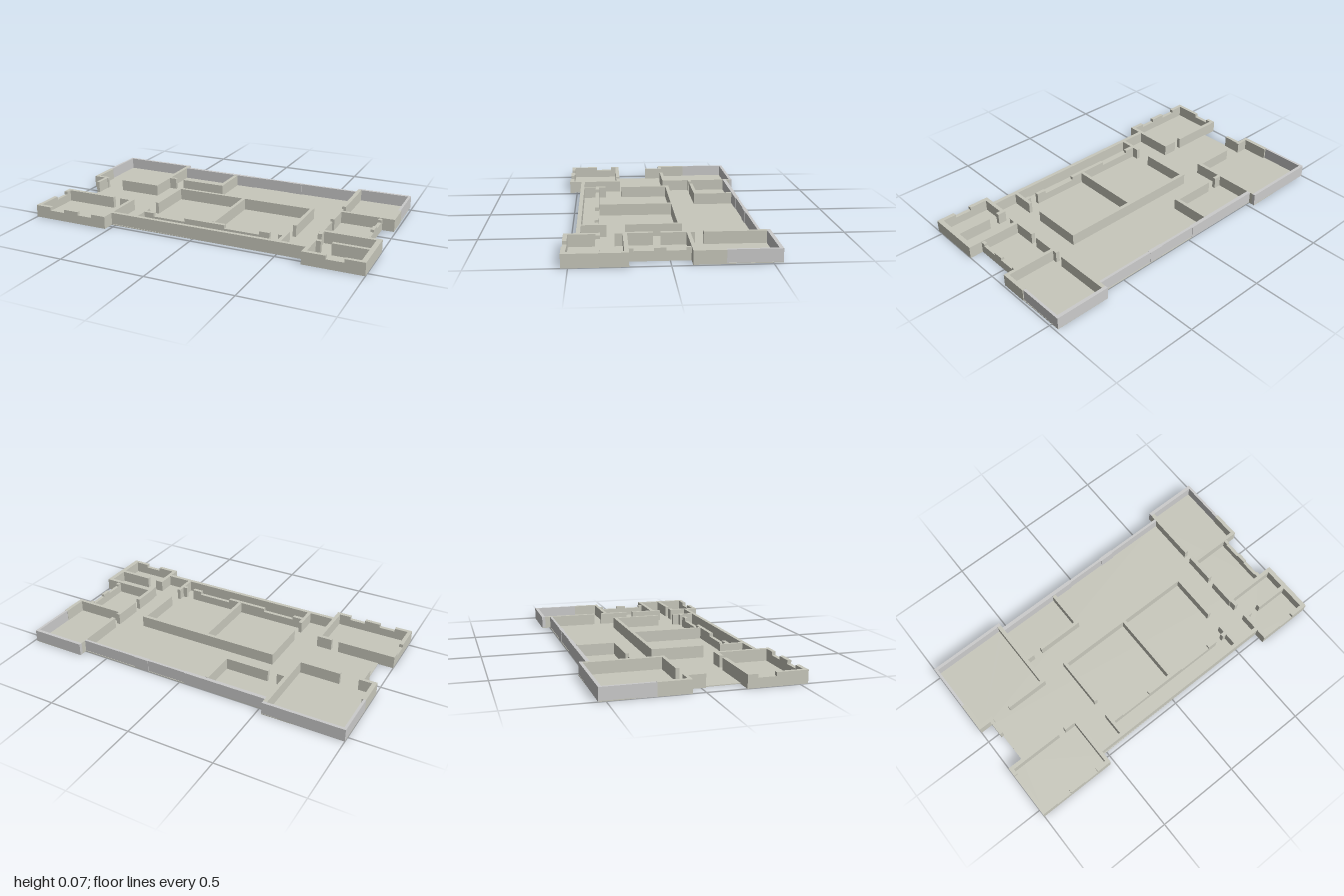
import * as THREE from 'three';

const H = 0.073;      // wall height
const SILL = 0.053;   // wall height under a window notch
const LOW = 0.068;    // slightly lower walls of the right wing

const stone = new THREE.MeshStandardMaterial({ color: 0xc8c8bc, flatShading: true });
const grey = new THREE.MeshStandardMaterial({ color: 0xcccccc, flatShading: true });

function block(x0, z0, x1, z1, h, mat) {
  const m = new THREE.Mesh(new THREE.BoxGeometry(x1 - x0, h, z1 - z0), mat);
  m.position.set((x0 + x1) / 2, h / 2, (z0 + z1) / 2);
  m.name = 'wallBlock';
  return m;
}

// A straight wall, split along its long axis wherever a notch [from, to] lowers it
function wall(x0, z0, x1, z1, { notches = [], h = H, mat = stone } = {}) {
  const g = new THREE.Group();
  const alongX = x1 - x0 > z1 - z0;
  const piece = (a, b, height) =>
    g.add(alongX ? block(a, z0, b, z1, height, mat) : block(x0, a, x1, b, height, mat));
  let pos = alongX ? x0 : z0;
  for (const [a, b] of notches) {
    if (a > pos) piece(pos, a, h);
    piece(a, b, SILL);
    pos = b;
  }
  const end = alongX ? x1 : z1;
  if (end > pos) piece(pos, end, h);
  return g;
}

export function createModel() {
  const model = new THREE.Group();
  model.name = 'floorPlan';

  // Thin floor slab following the building outline
  const outline = [
    [-1, -0.535], [-0.53, -0.54], [-0.53, -0.5], [0.655, -0.5], [0.655, -0.55], [0.985, -0.55],
    [0.99, -0.105], [0.92, -0.105], [0.92, 0.205], [1, 0.205], [1, 0.535], [0.66, 0.535],
    [0.66, 0.465], [-0.525, 0.475], [-0.525, 0.545], [-1, 0.545], [-1, 0.215],
    [-0.91, 0.215], [-0.915, -0.07], [-1, -0.07],
  ];
  const shape = new THREE.Shape(outline.map(([x, z]) => new THREE.Vector2(x, -z)));
  const floorGeo = new THREE.ExtrudeGeometry(shape, { depth: 0.005, bevelEnabled: false });
  floorGeo.rotateX(-Math.PI / 2);
  const floor = new THREE.Mesh(floorGeo, stone);
  floor.name = 'floor';
  model.add(floor);

  const rooms = {
    backRightRoom: [
      [-1, -0.538, -0.53, -0.52, { mat: grey }],
      [-1, -0.52, -0.985, -0.25, { mat: grey }],
      [-1, -0.25, -0.975, -0.07],
      [-0.975, -0.09, -0.9, -0.07],
      [-0.79, -0.09, -0.53, -0.07],
      [-0.553, -0.52, -0.53, -0.09],
    ],
    closet: [
      [-0.53, -0.26, -0.485, -0.24],
      [-0.43, -0.26, -0.15, -0.24],
      [-0.172, -0.475, -0.15, -0.26],
    ],
    backWall: [
      [-0.53, -0.5, -0.03, -0.478, { mat: grey }],
      [-0.03, -0.497, 0.21, -0.482, { mat: grey }],
      [0.21, -0.5, 0.3, -0.478, { mat: grey }],
      [0.3, -0.497, 0.655, -0.482, { mat: grey }],
    ],
    backLeftRoom: [
      [0.655, -0.55, 0.985, -0.53, { mat: grey }],
      [0.97, -0.53, 0.985, -0.27, { mat: grey }],
      [0.968, -0.27, 0.99, -0.105],
      [0.655, -0.53, 0.678, -0.195],
      [0.655, -0.15, 0.678, 0.03],
      [0.678, -0.125, 0.968, -0.105],
    ],
    leftWingRoom: [
      [0.9, -0.105, 0.92, 0.205, { h: LOW, notches: [[-0.08, 0.02], [0.08, 0.18]] }],
      [0.655, 0.07, 0.678, 0.205],
    ],
    frontLeftRooms: [
      [0.655, 0.205, 1, 0.228],
      [0.972, 0.228, 1, 0.535],
      [0.66, 0.228, 0.683, 0.27],
      [0.66, 0.345, 0.683, 0.535],
      [0.683, 0.345, 0.71, 0.368],
      [0.77, 0.345, 0.972, 0.368],
      [0.683, 0.512, 0.972, 0.535, { notches: [[0.79, 0.89]] }],
    ],
    frontWall: [[-0.525, 0.447, 0.66, 0.47]],
    frontRightRoom: [
      [-1, 0.215, -0.66, 0.238],
      [-0.615, 0.215, -0.525, 0.238],
      [-1, 0.238, -0.978, 0.545, { notches: [[0.27, 0.37]] }],
      [-0.547, 0.238, -0.525, 0.545],
      [-0.978, 0.522, -0.547, 0.545, { notches: [[-0.9, -0.805], [-0.71, -0.615]] }],
    ],
    centralHalls: [
      [-0.38, -0.097, 0.515, -0.075],
      [-0.38, -0.075, -0.36, 0.21],
      [-0.38, 0.31, -0.36, 0.447],
      [0.06, -0.075, 0.08, 0.35],
      [0.495, -0.075, 0.515, 0.21],
      [0.495, 0.31, 0.515, 0.447],
      [-0.36, 0.352, 0.42, 0.374, { notches: [[-0.3, -0.1], [0.15, 0.36]] }],
      [0.47, 0.352, 0.495, 0.374],
    ],
    entranceStub: [[-0.925, -0.07, -0.905, 0.025]],
  };

  for (const [name, walls] of Object.entries(rooms)) {
    const room = new THREE.Group();
    room.name = name;
    for (const w of walls) room.add(wall(...w));
    model.add(room);
  }
  return model;
}
